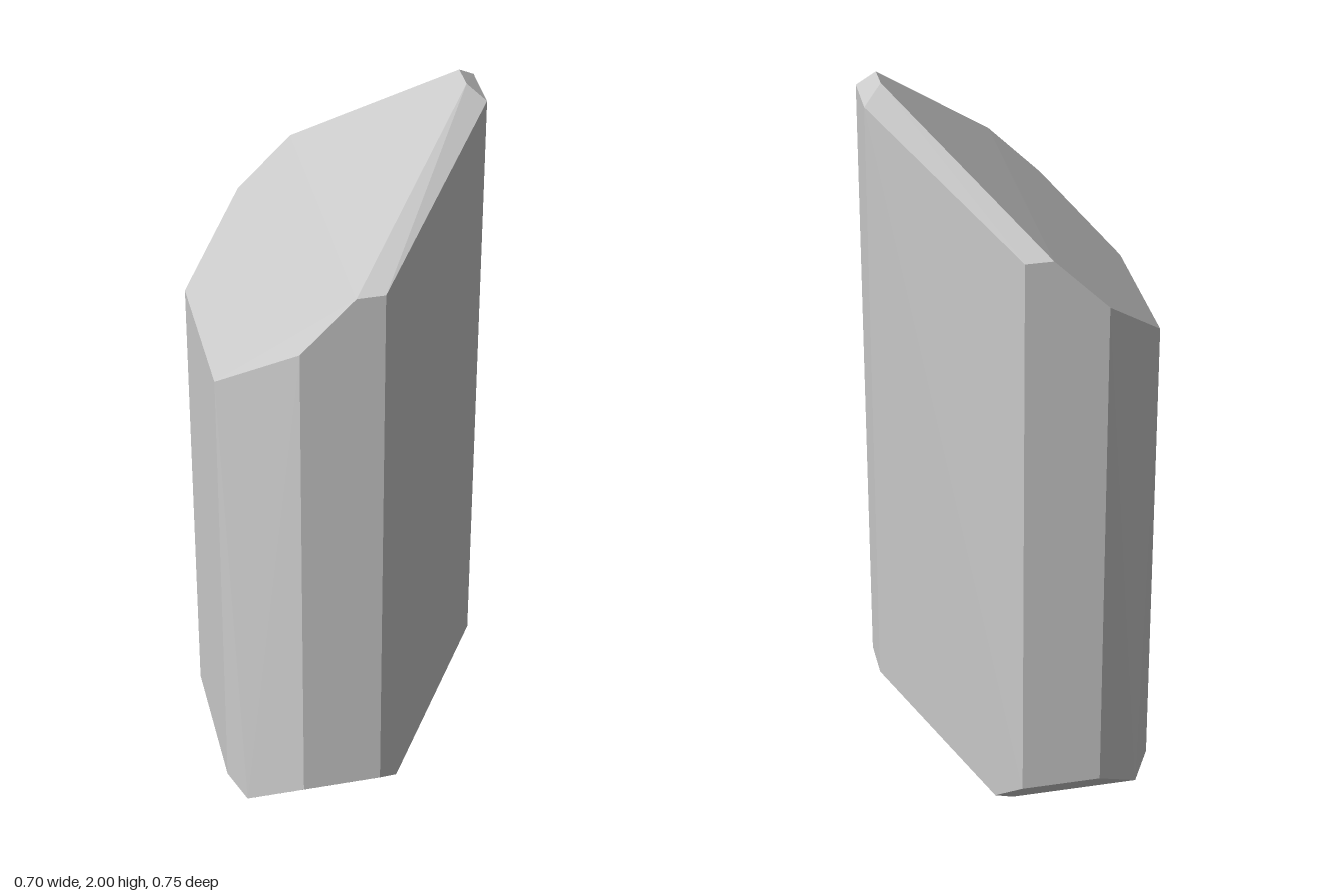
import * as THREE from 'three';
import { ConvexGeometry } from 'three/addons/geometries/ConvexGeometry.js';

export function createModel() {
  const group = new THREE.Group();
  group.name = 'crystal';

  // Corners as [x, y, z], mirrored front to back
  const mirrored = [
    // slanted tip facet
    [-0.35, 1.355, 0.2], [-0.177, 1.527, 0.374], [-0.04, 1.665, 0.374], [0.302, 2, 0.034],
    // lower edge of the tip bevel
    [0.03, 1.665, 0.374],
    // lower ends of the prism sides
    [-0.35, 0.05, 0.2], [-0.177, 0.12, 0.374], [0.03, 0.12, 0.374], [0.09, 0.06, 0.312], [0.347, 0.32, 0.057],
    // flat base
    [-0.307, 0, 0.255], [0.03, 0, 0.255],
  ];
  const corners = mirrored.flatMap(([x, y, z]) => [new THREE.Vector3(x, y, z), new THREE.Vector3(x, y, -z)]);

  // Upper end of the narrow right side, slightly uneven
  corners.push(new THREE.Vector3(0.347, 1.96, 0.057), new THREE.Vector3(0.349, 1.96, -0.074));

  const material = new THREE.MeshStandardMaterial({ color: 0xcccccc, flatShading: true });
  const shard = new THREE.Mesh(new ConvexGeometry(corners), material);
  shard.name = 'crystalShard';
  group.add(shard);
  return group;
}
